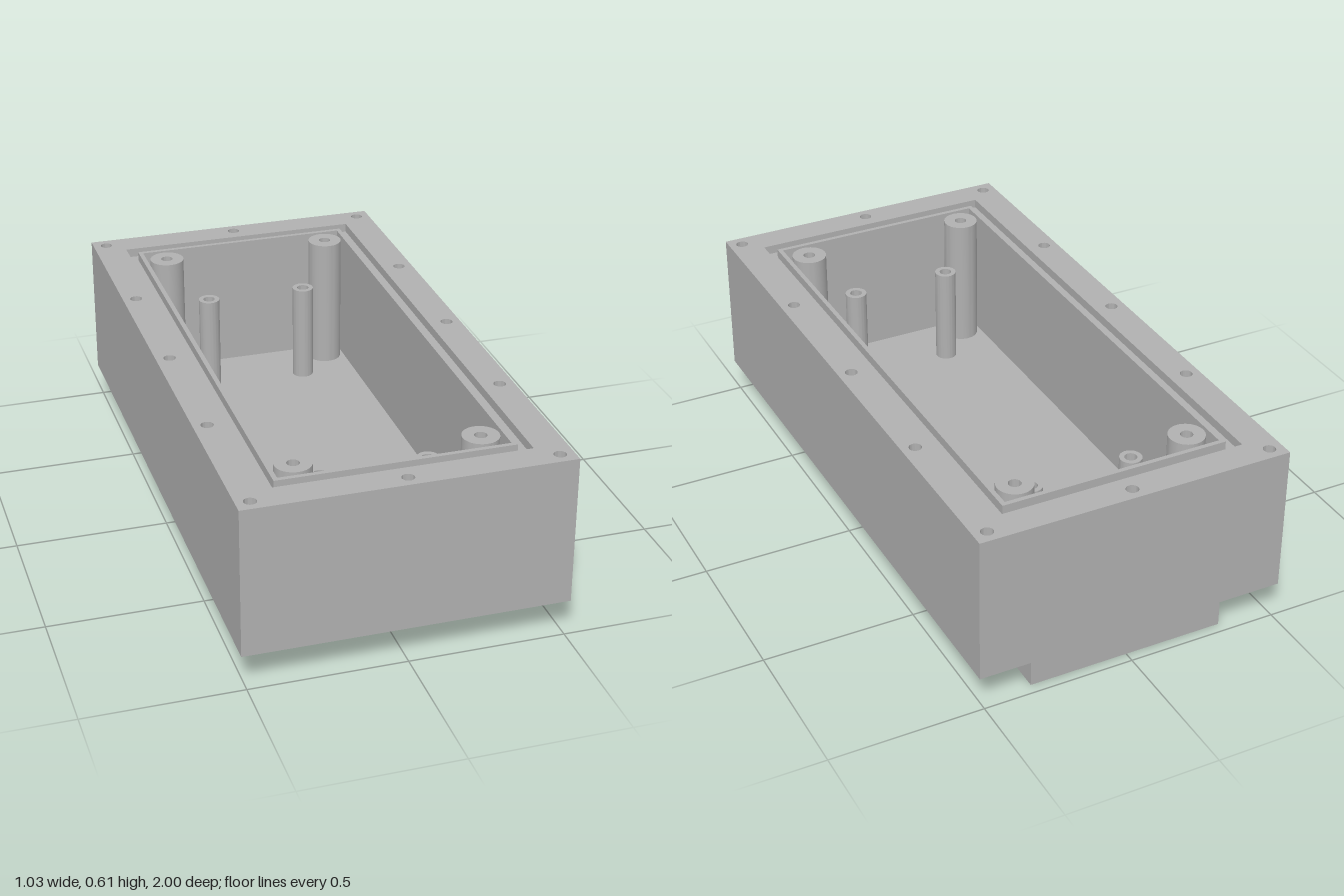
import * as THREE from 'three';
import { toCreasedNormals } from 'three/addons/utils/BufferGeometryUtils.js';

const grey = new THREE.MeshStandardMaterial({ color: 0xb0b0b0 });
grey.name = 'plain grey';

// Outline helpers: plan coordinates are x and -z
function rect(Kind, hx, hz, z = 0) {
  const p = new Kind();
  p.moveTo(-hx, -z - hz);
  p.lineTo(hx, -z - hz);
  p.lineTo(hx, -z + hz);
  p.lineTo(-hx, -z + hz);
  p.closePath();
  return p;
}

function circle(Kind, x, z, r) {
  const p = new Kind();
  p.absarc(x, -z, r, 0, Math.PI * 2, false);
  return p;
}

// Plan outline with holes, raised from y0 to y1
function slab(name, outline, holes, y0, y1) {
  outline.holes.push(...holes);
  const extruded = new THREE.ExtrudeGeometry(outline, { depth: y1 - y0, bevelEnabled: false, curveSegments: 20 });
  extruded.rotateX(-Math.PI / 2);
  extruded.translate(0, y0, 0);
  const mesh = new THREE.Mesh(toCreasedNormals(extruded, 0.6), grey);
  mesh.name = name;
  return mesh;
}

export function createModel() {
  const model = new THREE.Group();
  model.name = 'enclosure';

  const BOTTOM = 0.117, FLOOR = 0.149, TOP = 0.605;
  const GROOVE = 0.575, SCREW_END = 0.4;
  const HX = 0.515, HZ = 1;
  const shell = () => rect(THREE.Shape, HX, HZ);
  const cavity = () => rect(THREE.Path, 0.36, 0.85);

  // Screw holes around the rim
  const screws = [[0, -0.957], [0, 0.957]];
  for (const x of [-0.47, 0.47])
    for (const z of [-0.957, -0.478, 0, 0.478, 0.957]) screws.push([x, z]);
  const screwHoles = () => screws.map(([x, z]) => circle(THREE.Path, x, z, 0.02));

  // Post positions
  const corners = [], inner = [];
  for (const sx of [-1, 1])
    for (const sz of [-1, 1]) {
      corners.push([sx * 0.291, sz * 0.778]);
      inner.push([sx * 0.172, sz * 0.657]);
    }

  // Floor, walls and grooved rim
  model.add(
    slab('floor', shell(), corners.map(([x, z]) => circle(THREE.Path, x, z, 0.02)), BOTTOM, FLOOR),
    slab('lowerWall', shell(), [cavity()], FLOOR, SCREW_END),
    slab('upperWall', shell(), [cavity(), ...screwHoles()], SCREW_END, GROOVE),
    slab('rim', shell(), [rect(THREE.Path, 0.41, 0.9), ...screwHoles()], GROOVE, TOP),
    slab('sealRib', rect(THREE.Shape, 0.375, 0.865), [cavity()], GROOVE, TOP)
  );

  // Hollow posts: tall at the corners, shorter further in
  for (const [x, z] of corners)
    model.add(slab('cornerPost', circle(THREE.Shape, x, z, 0.058), [circle(THREE.Path, x, z, 0.02)], FLOOR, TOP));
  for (const [x, z] of inner)
    model.add(slab('innerPost', circle(THREE.Shape, x, z, 0.036), [circle(THREE.Path, x, z, 0.02)], FLOOR, 0.486));

  // Block under the back with a shallow slot
  const foot = () => rect(THREE.Shape, 0.328, 0.145, -0.82);
  model.add(
    slab('footTop', foot(), [], 0.04, BOTTOM),
    slab('footBottom', foot(), [rect(THREE.Path, 0.208, 0.035, -0.827)], 0, 0.04)
  );

  return model;
}
